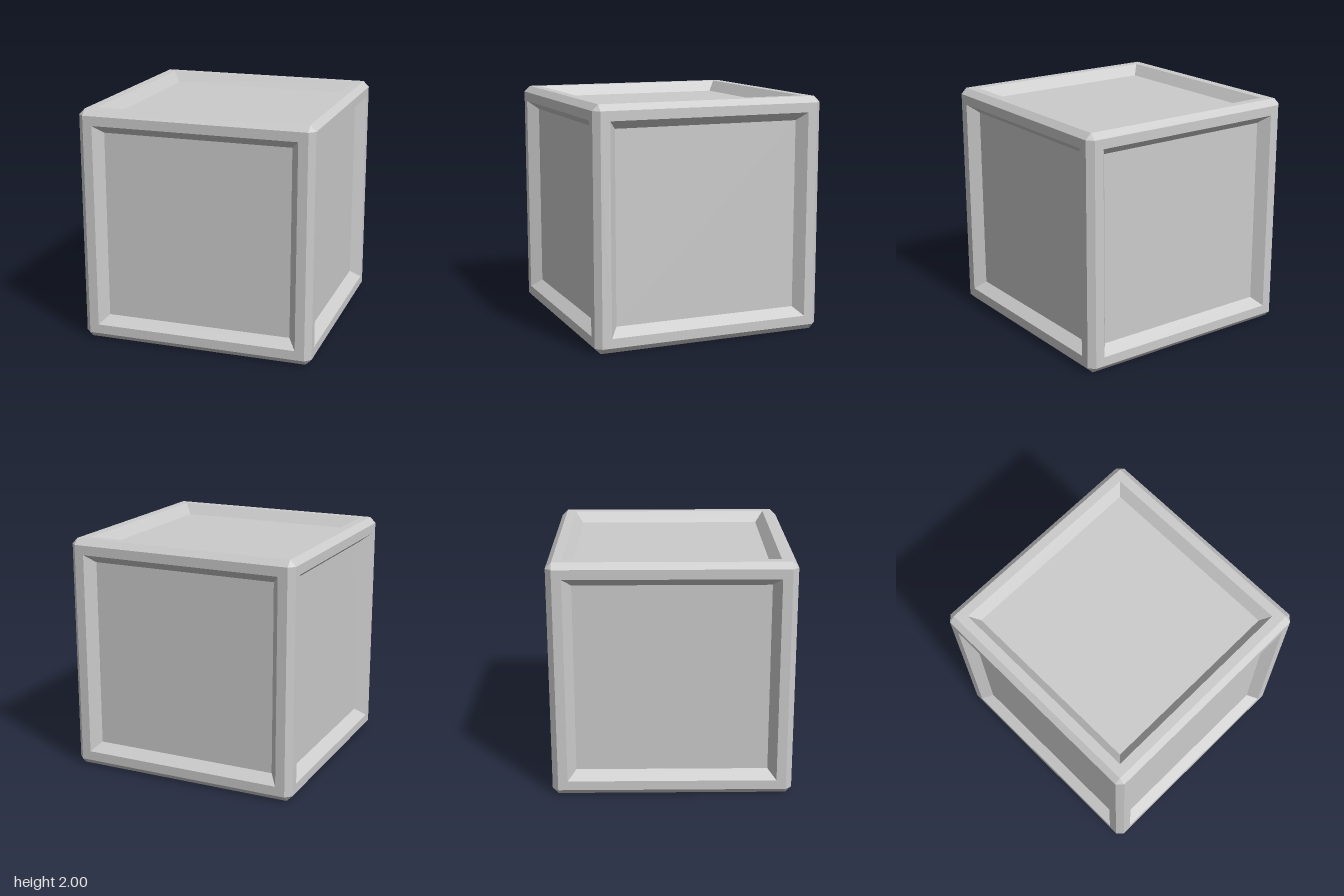
import * as THREE from 'three';
import { mergeGeometries } from 'three/addons/utils/BufferGeometryUtils.js';

const HALF = 1;        // half of the cube's side
const FLAT = 0.95;     // where the flat rim meets the edge bevel
const RIM = 0.87;      // inner edge of the rim
const PANEL = 0.8;     // half size of the sunken panel
const DEPTH = 0.09;    // how far the panel is sunk
const TURN = Math.PI / 2;

const material = new THREE.MeshStandardMaterial({ color: 0xcccccc, flatShading: true });

// Flat convex polygon from counter-clockwise corners
function polygon(corners) {
  const points = [];
  for (let i = 1; i < corners.length - 1; i++) {
    points.push(...corners[0], ...corners[i], ...corners[i + 1]);
  }
  const geometry = new THREE.BufferGeometry();
  geometry.setAttribute('position', new THREE.Float32BufferAttribute(points, 3));
  geometry.computeVertexNormals();
  return geometry;
}

// Counter-clockwise square facing +z
const square = (r, z) => [[-r, -r, z], [r, -r, z], [r, r, z], [-r, r, z]];

// Band of four quads between two squares
function band(outer, inner) {
  return mergeGeometries(outer.map((p, i) => {
    const j = (i + 1) % 4;
    return polygon([p, outer[j], inner[j], inner[i]]);
  }));
}

export function createModel() {
  const model = new THREE.Group();
  model.name = 'panelledCube';

  const add = (parent, name, geometry) => {
    const mesh = new THREE.Mesh(geometry, material);
    mesh.name = name;
    parent.add(mesh);
  };

  // Six sides: flat rim, sloping recess walls and sunken panel
  const rim = band(square(FLAT, HALF), square(RIM, HALF));
  const recess = band(square(RIM, HALF), square(PANEL, HALF - DEPTH));
  const panel = polygon(square(PANEL, HALF - DEPTH));
  const sides = {
    front: [0, 0], left: [0, TURN], back: [0, 2 * TURN],
    right: [0, -TURN], top: [-TURN, 0], bottom: [TURN, 0],
  };
  for (const [name, [rx, ry]] of Object.entries(sides)) {
    const side = new THREE.Group();
    side.name = name + 'Side';
    side.rotation.set(rx, ry, 0);
    add(side, name + 'Rim', rim);
    add(side, name + 'RecessWalls', recess);
    add(side, name + 'Panel', panel);
    model.add(side);
  }

  // Twelve bevelled edges, four along each axis
  const edge = polygon([
    [-FLAT, FLAT, HALF], [FLAT, FLAT, HALF], [FLAT, HALF, FLAT], [-FLAT, HALF, FLAT],
  ]);
  const edges = [];
  for (let k = 0; k < 4; k++) {
    const alongX = edge.clone().rotateX(k * TURN);
    edges.push(alongX, alongX.clone().rotateZ(TURN), alongX.clone().rotateY(TURN));
  }
  add(model, 'bevelledEdges', mergeGeometries(edges));

  // Eight triangular corners, top and bottom
  const corner = polygon([[FLAT, FLAT, HALF], [HALF, FLAT, FLAT], [FLAT, HALF, FLAT]]);
  const corners = [];
  for (let k = 0; k < 4; k++) {
    corners.push(corner.clone().rotateY(k * TURN));
    corners.push(corner.clone().rotateZ(2 * TURN).rotateY(k * TURN));
  }
  add(model, 'bevelledCorners', mergeGeometries(corners));

  // Stand the cube on the ground
  model.children.forEach((part) => { part.position.y = HALF; });
  return model;
}
